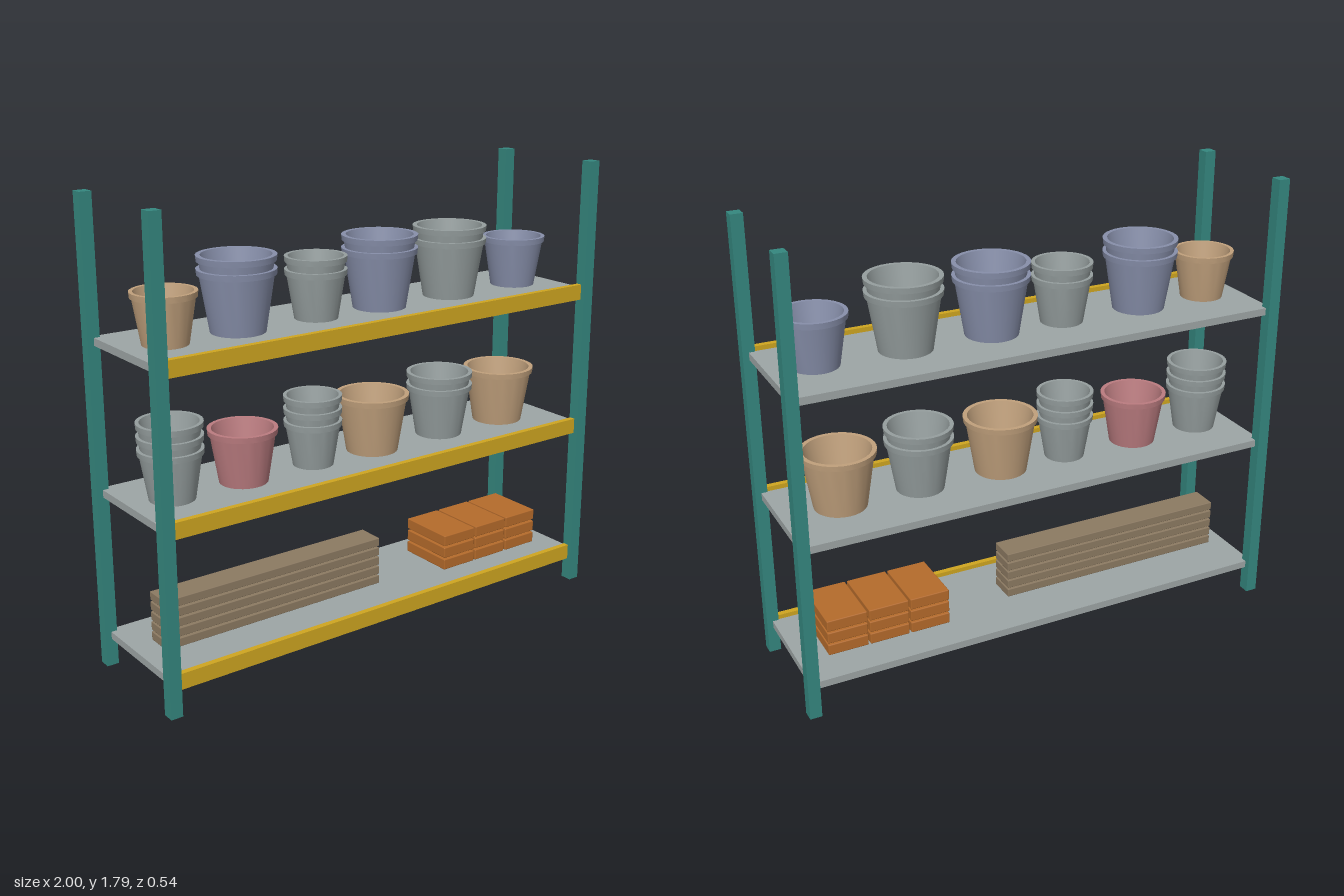
import * as THREE from 'three';
import { toCreasedNormals } from 'three/addons/utils/BufferGeometryUtils.js';
import { RoundedBoxGeometry } from 'three/addons/geometries/RoundedBoxGeometry.js';

function material(name, color) {
  const m = new THREE.MeshStandardMaterial({ color });
  m.name = name;
  return m;
}

export function createModel() {
  const teal = material('teal post paint', 0x35877f);
  const yellow = material('yellow beam paint', 0xcfa620);
  const shelfGrey = material('shelf grey', 0x9da5a5);
  const tan = material('tan clay', 0xc0a07c);
  const blue = material('blue glaze', 0x878faa);
  const grey = material('grey glaze', 0x959e9e);
  const pink = material('pink glaze', 0xbb7c80);
  const wood = material('brown wood', 0x8c7a62);
  const orange = material('orange brick', 0xb56b2b);

  const model = new THREE.Group();
  model.name = 'potShelf';

  function add(name, geometry, mat, x, y, z, parent = model) {
    const mesh = new THREE.Mesh(geometry, mat);
    mesh.name = name;
    mesh.position.set(x, y, z);
    parent.add(mesh);
    return mesh;
  }
  function group(name) {
    const g = new THREE.Group();
    g.name = name;
    model.add(g);
    return g;
  }

  // Four corner posts
  const postGeo = new THREE.BoxGeometry(0.047, 1.79, 0.047);
  for (const x of [-0.9765, 0.9765])
    for (const z of [-0.244, 0.244]) add('post', postGeo, teal, x, 0.895, z);

  // Three shelf boards, each with a front beam standing proud above and below
  const shelfTops = [0.137, 0.707, 1.277];
  const boardGeo = new THREE.BoxGeometry(1.953, 0.029, 0.47);
  const beamGeo = new THREE.BoxGeometry(1.906, 0.062, 0.023);
  for (const top of shelfTops) {
    add('shelfBoard', boardGeo, shelfGrey, 0, top - 0.0145, -0.01);
    add('frontBeam', beamGeo, yellow, 0, top - 0.013, 0.2365);
  }

  // Hollow tapered pot with a narrow rim; all sizes follow the rim radius
  function potGeometry(r) {
    const h = 1.59 * r;
    const profile = [
      [0, 0], [0.7 * r, 0], [0.93 * r, h - 0.022], [0.985 * r, h - 0.022],
      [r, h], [0.88 * r, h], [0.6 * r, 0.02], [0, 0.02],
    ].map(([x, y]) => new THREE.Vector2(x, y));
    return toCreasedNormals(new THREE.LatheGeometry(profile, 32), 0.6);
  }

  // Rows of nested pots: x, rim radius, number in the stack, colour
  const rows = [
    [shelfTops[2], [
      [-0.814, 0.119, 1, tan], [-0.52, 0.145, 2, blue], [-0.18, 0.117, 2, grey],
      [0.115, 0.146, 2, blue], [0.46, 0.145, 2, grey], [0.803, 0.126, 1, blue],
    ]],
    [shelfTops[1], [
      [-0.813, 0.121, 3, grey], [-0.513, 0.131, 1, pink], [-0.2, 0.112, 3, grey],
      [0.082, 0.145, 1, tan], [0.422, 0.133, 2, grey], [0.742, 0.144, 1, tan],
    ]],
  ];
  for (const [y, pots] of rows)
    for (const [x, r, count, mat] of pots) {
      const stack = group('potStack');
      const geo = potGeometry(r);
      for (let i = 0; i < count; i++) add('pot', geo, mat, x, y + 0.049 * i, 0, stack);
    }

  // Stack of long planks
  const planks = group('plankStack');
  const plankGeo = new RoundedBoxGeometry(0.973, 0.034, 0.112, 1, 0.003);
  for (let i = 0; i < 5; i++) add('plank', plankGeo, wood, -0.407, 0.165 + 0.0405 * i, 0, planks);

  // Bricks, three across and three high
  const bricks = group('brickStack');
  const brickGeo = new RoundedBoxGeometry(0.161, 0.045, 0.244, 1, 0.004);
  for (let i = 0; i < 3; i++)
    for (let j = 0; j < 3; j++)
      add('brick', brickGeo, orange, 0.447 + 0.169 * i, 0.173 + 0.052 * j, 0, bricks);

  return model;
}
